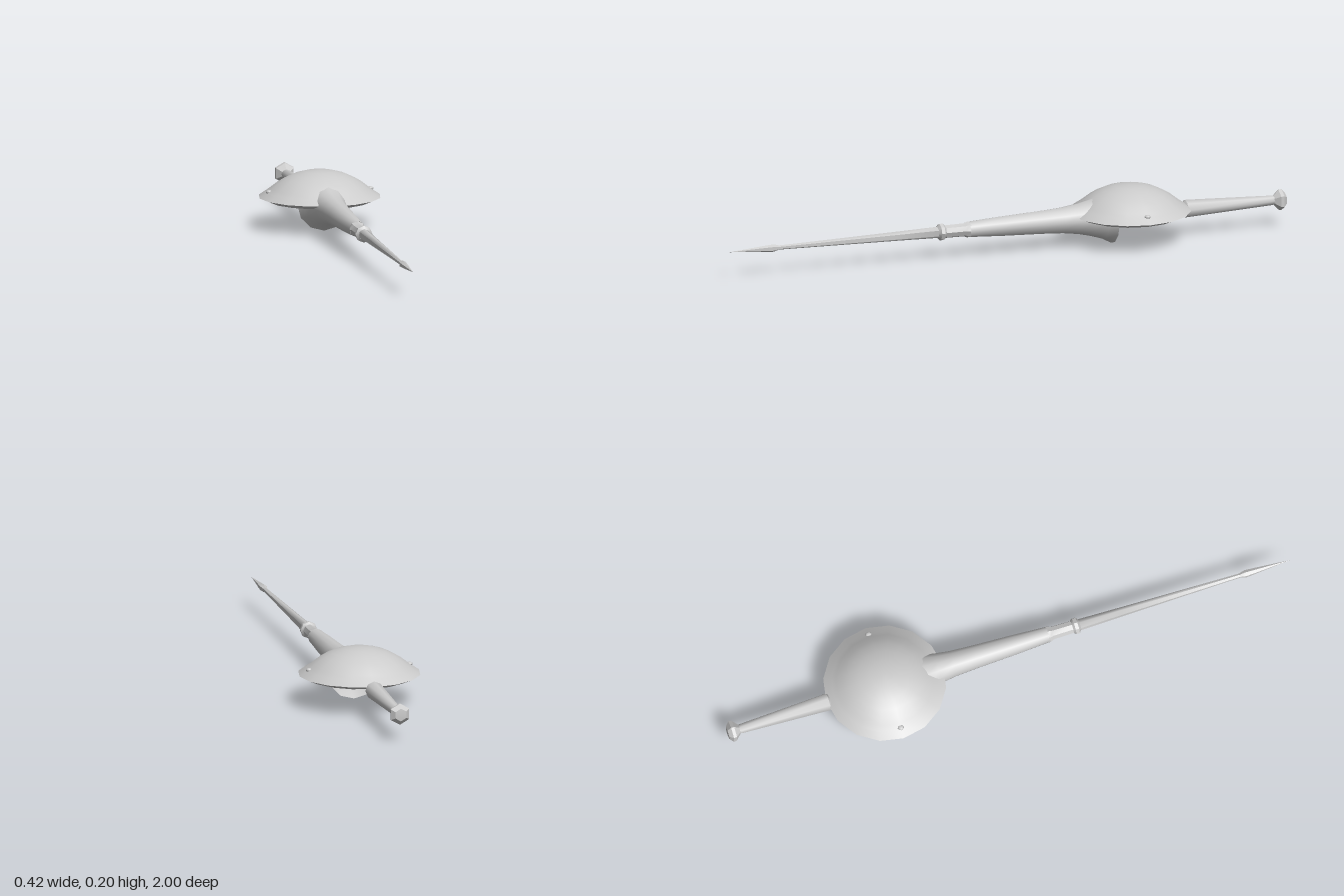
import * as THREE from 'three';
import { toCreasedNormals } from 'three/addons/utils/BufferGeometryUtils.js';

const AXIS_Y = 0.095;
const SHIELD_Z = -0.44;

export function createModel() {
  const group = new THREE.Group();
  const material = new THREE.MeshStandardMaterial({ color: 0xcccccc });
  const openMaterial = new THREE.MeshStandardMaterial({ color: 0xcccccc, side: THREE.DoubleSide });

  const lathe = (profile, sides, crease) => toCreasedNormals(
    new THREE.LatheGeometry(profile.map(([r, h]) => new THREE.Vector2(r, h)), sides), crease);

  const add = (name, geometry, mat = material) => {
    const mesh = new THREE.Mesh(geometry, mat);
    mesh.name = name;
    group.add(mesh);
    return mesh;
  };

  // Parts turned around the long axis: [radius, z] from back to front
  const turned = (name, profile, sides, crease = 0.6, mat = material) => {
    const mesh = add(name, lathe(profile, sides, crease).rotateX(Math.PI / 2), mat);
    mesh.position.y = AXIS_Y;
    return mesh;
  };

  // Pommel and tapering grip
  turned('pommel', [[0, -1], [0.022, -0.998], [0.037, -0.985], [0.035, -0.974], [0.015, -0.955]], 6, 0.4);
  turned('grip', [[0, -0.64], [0.015, -0.64]].reverse().concat([]), 6);
  turned('grip', [[0.014, -0.965], [0.017, -0.95], [0.031, -0.64], [0.014, -0.625]], 8, 0.8);

  // Thin rod running under the shield
  turned('handleRod', [[0.015, -0.65], [0.015, -0.2]], 8, 0.9);

  // Hollow flared bell narrowing into the rear shaft
  turned('flaredShaft', [
    [0.093, -0.37], [0.077, -0.34], [0.064, -0.3], [0.053, -0.255], [0.045, -0.2],
    [0.04, -0.12], [0.034, 0.02], [0.027, 0.14],
  ], 12, 0.9, openMaterial);

  // Collar with a raised ring at each end
  turned('collar', [
    [0.027, 0.135], [0.028, 0.145], [0.023, 0.155], [0.022, 0.225], [0.029, 0.232],
    [0.029, 0.244], [0.019, 0.252],
  ], 8, 0.6);

  // Slim front shaft and spear head
  turned('frontShaft', [[0.02, 0.235], [0.016, 0.4], [0.007, 0.84]], 6, 1.1);
  turned('spearHead', [[0.006, 0.815], [0.013, 0.84], [0.011, 0.87], [0, 1]], 6, 0.5);

  // Domed round shield with a bevelled rim and closed underside
  const shield = add('shield', lathe([
    [0, 0.093], [0.172, 0.093], [0.208, 0.108], [0.18, 0.127], [0.165, 0.138], [0.145, 0.154],
    [0.12, 0.169], [0.09, 0.183], [0.05, 0.194], [0, 0.198],
  ], 16, 0.7));
  shield.position.z = SHIELD_Z;

  // Rivets on both sides of the shield
  for (const side of [-1, 1]) {
    const rivet = add('rivet', new THREE.SphereGeometry(0.011, 8, 6));
    rivet.position.set(side * 0.175, 0.129, SHIELD_Z);
    rivet.scale.y = 0.6;
  }
  return group;
}
